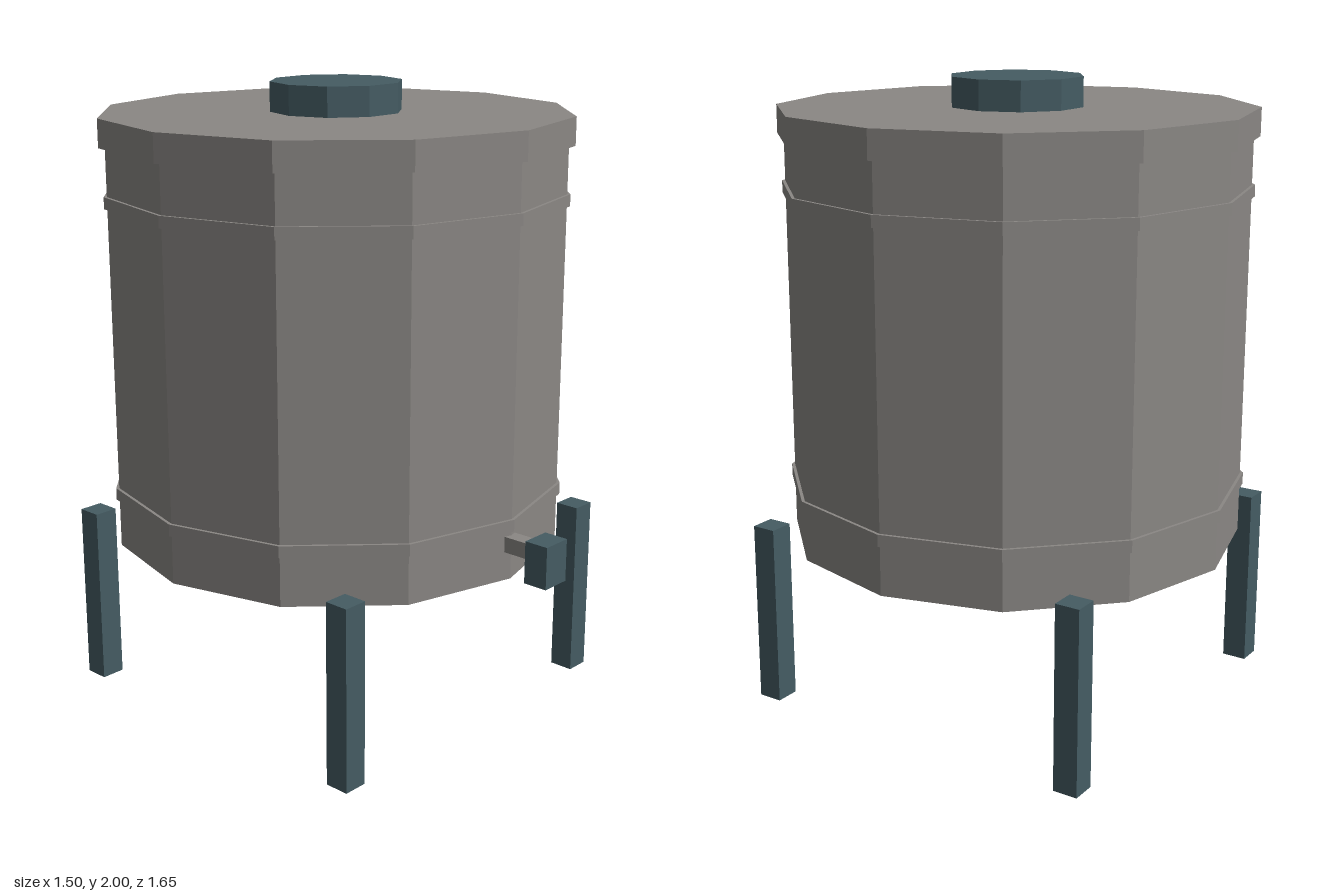
import * as THREE from 'three';

export function createModel() {
  const model = new THREE.Group();
  model.name = 'waterTank';

  const grey = new THREE.MeshStandardMaterial({ color: 0x8a8784, flatShading: true });
  grey.name = 'weathered grey';
  const teal = new THREE.MeshStandardMaterial({ color: 0x455c63, flatShading: true });
  teal.name = 'dark teal';

  const axisZ = -0.075; // the tap pushes the tank back from the centre

  // Upright prism between two heights, on the tank axis
  function prism(name, radius, y0, y1, sides, material, turn = 0) {
    const mesh = new THREE.Mesh(new THREE.CylinderGeometry(radius, radius, y1 - y0, sides), material);
    mesh.name = name;
    mesh.position.set(0, (y0 + y1) / 2, axisZ);
    mesh.rotation.y = turn;
    model.add(mesh);
  }

  function box(name, size, position, material) {
    const mesh = new THREE.Mesh(new THREE.BoxGeometry(...size), material);
    mesh.name = name;
    mesh.position.set(...position);
    model.add(mesh);
  }

  // Tank, hoops, lid and filler cap
  prism('tankBody', 0.73, 0.535, 1.85, 12, grey);
  prism('lowerHoop', 0.74, 0.692, 0.73, 12, grey);
  prism('upperHoop', 0.74, 1.632, 1.669, 12, grey);
  prism('lid', 0.75, 1.818, 1.907, 12, grey);
  prism('fillerCap', 0.21, 1.9, 2, 10, teal, Math.PI / 2);

  // Four legs just outside the tank wall
  for (const [side, sx] of [['left', 1], ['right', -1]]) {
    for (const [end, sz] of [['Front', 1], ['Back', -1]]) {
      box(`${side}${end}Leg`, [0.08, 0.59, 0.08], [sx * 0.565, 0.295, axisZ + sz * 0.565], teal);
    }
  }

  // Tap at the front
  box('tapPipe', [0.05, 0.05, 0.18], [0, 0.652, 0.67], grey);
  box('tapValve', [0.1, 0.135, 0.08], [0, 0.628, 0.785], teal);

  return model;
}
